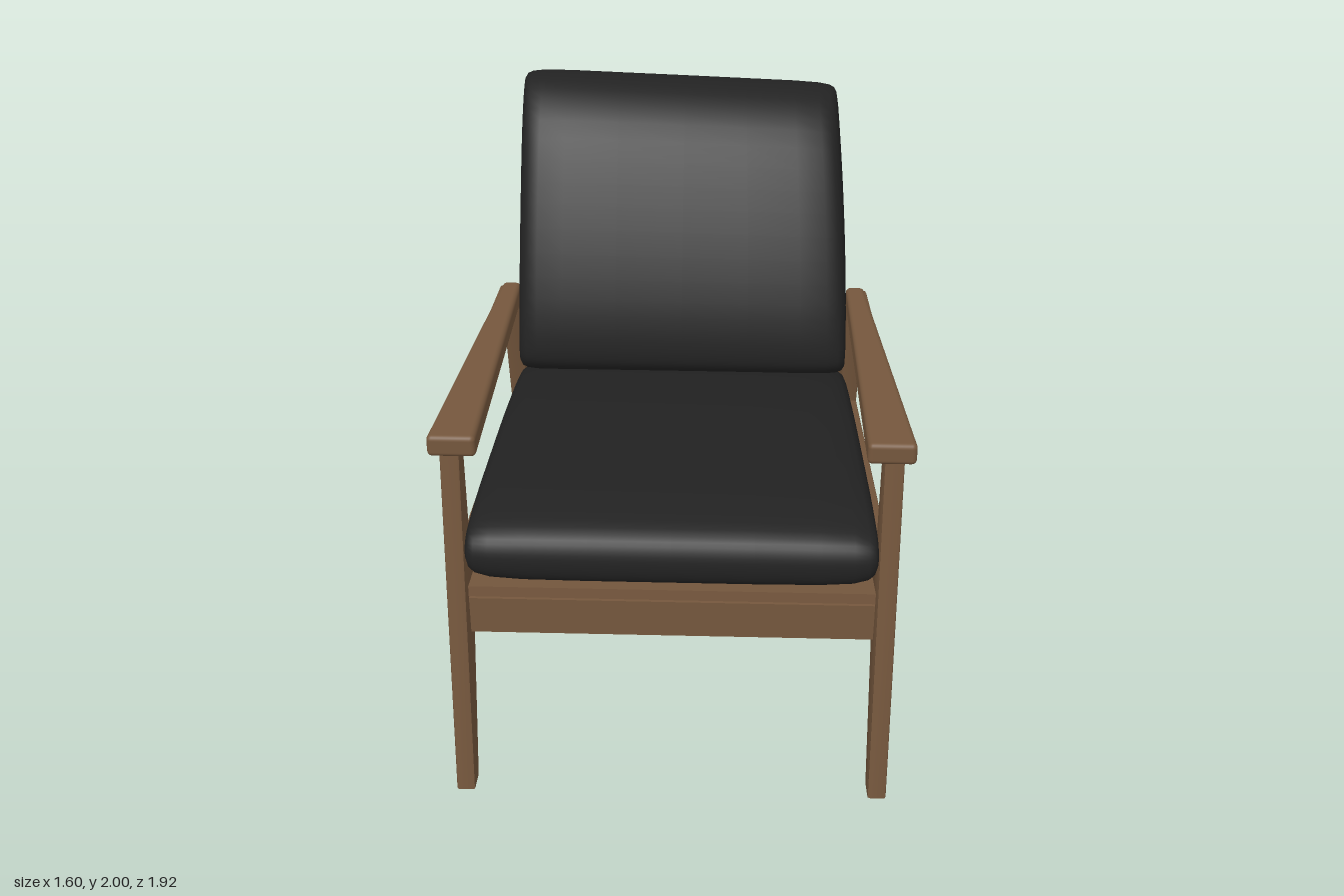
import * as THREE from 'three';
import { toCreasedNormals } from 'three/addons/utils/BufferGeometryUtils.js';
import { RoundedBoxGeometry } from 'three/addons/geometries/RoundedBoxGeometry.js';

const wood = new THREE.MeshStandardMaterial({ color: 0x75573d });
wood.name = 'walnut wood';
const leather = new THREE.MeshStandardMaterial({ color: 0x222222 });
leather.name = 'black leather';

const lerp = THREE.MathUtils.lerp;

function part(name, geometry, material) {
  const mesh = new THREE.Mesh(geometry, material);
  mesh.name = name;
  return mesh;
}

// Move every vertex by a rule
function warp(geometry, rule) {
  const p = geometry.attributes.position;
  const v = new THREE.Vector3();
  for (let i = 0; i < p.count; i++) {
    rule(v.fromBufferAttribute(p, i));
    p.setXYZ(i, v.x, v.y, v.z);
  }
  return geometry;
}

// Closed outline from [z, y, cornerRadius] points
function roundedOutline(points, path) {
  const n = points.length;
  points.forEach(([z, y, r = 0], i) => {
    const corner = new THREE.Vector2(z, y);
    const toward = (q) => new THREE.Vector2(q[0], q[1]).sub(corner).setLength(r).add(corner);
    const a = toward(points[(i + n - 1) % n]);
    const b = toward(points[(i + 1) % n]);
    if (i === 0) path.moveTo(a.x, a.y); else path.lineTo(a.x, a.y);
    if (r > 0) path.quadraticCurveTo(z, y, b.x, b.y);
  });
  path.closePath();
  return path;
}

// The frames stand closer together at the back
const frameX = (z) => 0.685 + 0.0535 * z;

// Legs, side rail and arm support in one flat piece
function sideFrame(side) {
  const shape = roundedOutline([
    [0.888, 0], [0.965, 0], [0.82, 1.44], [-0.45, 1.302, 0.075], [-0.59, 0.95],
    [-0.928, 0], [-0.856, 0], [-0.595, 0.552, 0.065], [0.756, 0.69, 0.07],
  ], new THREE.Shape());
  shape.holes.push(roundedOutline([
    [0.755, 1.357], [0.752, 0.866, 0.07], [-0.507, 0.745], [-0.412, 1.235, 0.05],
  ], new THREE.Path()));
  const bevel = 0.007;
  const width = 0.066;
  const g = new THREE.ExtrudeGeometry(shape, {
    depth: width - 2 * bevel, bevelThickness: bevel, bevelSize: bevel,
    bevelOffset: -bevel, bevelSegments: 2, curveSegments: 8,
  });
  g.translate(0, 0, -(width / 2 - bevel));
  g.rotateY(-Math.PI / 2);
  warp(g, (v) => { v.x += side * frameX(v.z); });
  g.computeVertexNormals();
  return part(side > 0 ? 'leftSideFrame' : 'rightSideFrame', toCreasedNormals(g, 0.6), wood);
}

// Armrest, wide in front and narrowing into the frame
function armrest(side) {
  const length = 1.28;
  const g = warp(new RoundedBoxGeometry(1, 0.08, length, 3, 0.018), (v) => {
    const t = v.z / length + 0.5;
    const inner = lerp(0.62, 0.638, t);
    const outer = lerp(0.688, 0.8, t);
    // keep the rounded edge the same size across the width
    const edge = Math.sign(v.x) * (0.5 - Math.abs(v.x));
    const x = (v.x > 0 ? outer : inner) - edge;
    v.x = side > 0 ? x : x - inner - outer;
    v.y += lerp(1.27, 1.408, t);
    v.z = lerp(-0.43, 0.85, t);
  });
  return part(side > 0 ? 'leftArmrest' : 'rightArmrest', g, wood);
}

// Flat board between two [z, y, halfWidth] ends
function board(name, a, b, thickness) {
  const dz = b[0] - a[0], dy = b[1] - a[1], len = Math.hypot(dz, dy);
  const g = warp(new THREE.BoxGeometry(1, thickness, 1), (v) => {
    const t = v.z + 0.5;
    const off = v.y;
    v.x *= 2 * lerp(a[2], b[2], t);
    v.y = lerp(a[1], b[1], t) + off * dz / len;
    v.z = lerp(a[0], b[0], t) - off * dy / len;
  });
  g.computeVertexNormals();
  return part(name, g, wood);
}

// Half of the cushion stations: [position, thickness scale, length scale]
const halfStations = [
  [1, 0, 0], [1, 0.3, 0.86], [0.995, 0.55, 0.94], [0.98, 0.72, 0.97],
  [0.95, 0.84, 0.985], [0.88, 0.93, 0.995], [0.72, 0.98, 1], [0.4, 1, 1],
];
const stations = [
  ...halfStations.map(([s, k, l]) => [-s, k, l]), [0, 1, 1], ...[...halfStations].reverse(),
];

// Stuffed cushion: a side profile swept across x and pinched at both ends
function cushion(name, profile, center, axis, rule) {
  const curve = new THREE.CatmullRomCurve3(
    profile.map(([z, y]) => new THREE.Vector3(0, y, z)), true, 'centripetal');
  const n = 56;
  const ring = curve.getPoints(n).slice(0, n);
  const len = Math.hypot(...axis);
  const az = axis[0] / len, ay = axis[1] / len;
  const positions = [], index = [];
  const v = new THREE.Vector3();
  stations.forEach(([s, k, l], i) => {
    ring.forEach((p, j) => {
      const z = p.z - center[0], y = p.y - center[1];
      const along = (z * az + y * ay) * l;
      const across = (y * az - z * ay) * k;
      v.set(s, center[1] + along * ay + across * az, center[0] + along * az - across * ay);
      rule(v);
      positions.push(v.x, v.y, v.z);
      if (i === stations.length - 1) return;
      const a = i * n + j, c = i * n + (j + 1) % n;
      index.push(a, a + n, c, a + n, c + n, c);
    });
  });
  const g = new THREE.BufferGeometry();
  g.setAttribute('position', new THREE.Float32BufferAttribute(positions, 3));
  g.setIndex(index);
  g.computeVertexNormals();
  return part(name, g, leather);
}

export function createModel() {
  const chair = new THREE.Group();
  chair.name = 'loungeChair';

  for (const side of [1, -1]) chair.add(sideFrame(side), armrest(side));

  // Boards between the frames
  chair.add(
    board('frontRail', [0.825, 0.638, 0.695], [0.825, 0.785, 0.695], 0.05),
    board('seatBoard', [-0.49, 0.685, 0.628], [0.85, 0.815, 0.695], 0.04),
    board('backPanel', [-0.445, 0.68, 0.62], [-0.893, 1.69, 0.43], 0.035),
  );

  // Seat cushion fills the space between the frames
  chair.add(cushion('seatCushion', [
    [0.91, 1.0], [0.87, 1.07], [0.72, 1.105], [0.3, 1.09], [-0.1, 1.05], [-0.4, 0.97],
    [-0.485, 0.86], [-0.47, 0.755], [-0.1, 0.79], [0.4, 0.83], [0.8, 0.855], [0.895, 0.91],
  ], [0.2, 0.94], [1, 0.1], (v) => { v.x *= 0.652 + 0.0535 * v.z; }));

  // Back cushion leans on the panel, its top slightly slumped to one side
  chair.add(cushion('backCushion', [
    [-0.225, 1.13], [-0.27, 1.32], [-0.42, 1.64], [-0.6, 1.9], [-0.75, 1.99], [-0.87, 1.985],
    [-0.955, 1.87], [-0.93, 1.74], [-0.82, 1.62], [-0.62, 1.2], [-0.5, 1.0], [-0.44, 0.945],
    [-0.31, 0.99], [-0.235, 1.06],
  ], [-0.55, 1.46], [-0.45, 0.89], (v) => {
    const t = THREE.MathUtils.clamp(v.y - 1, 0, 1);
    v.y += t * (0.012 - 0.022 * (v.x + 1));
    v.x *= v.x > 0 ? 0.625 - 0.055 * t * t : 0.625 - 0.01 * t;
  }));

  return chair;
}
